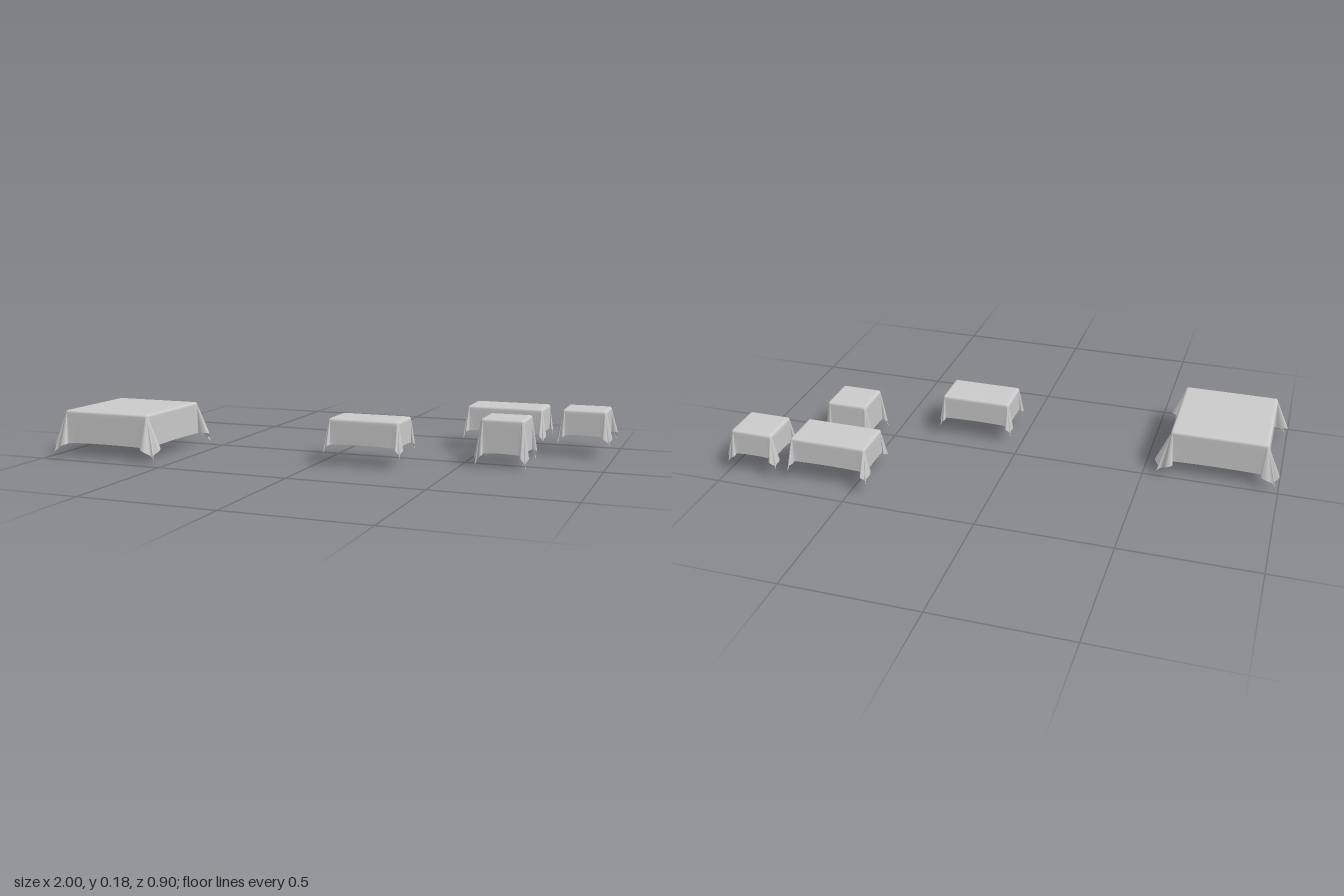
import * as THREE from 'three';
import { mergeVertices } from 'three/addons/utils/BufferGeometryUtils.js';

const R = 0.01;            // soft radius of the table edge
const FACE_STEPS = 10;     // stations along each straight side
const FOLD_STEPS = 32;     // stations around each corner fold
const ROWS = 10;           // rows down the hanging cloth

// Omega-shaped corner fold: outward slope (x, z) of the cloth around a corner,
// running from the z side of the table to its x side.
const fold = new THREE.CatmullRomCurve3([
  [0, 0], [-0.09, 0.2], [-0.08, 0.4], [0.06, 0.42], [0.2, 0.24], [0.27, 0.27],
  [0.24, 0.2], [0.42, 0.06], [0.4, -0.08], [0.2, -0.09], [0, 0],
].map(([x, z]) => new THREE.Vector3(x, 0, z)), false, 'centripetal');

// One station: edge point, outward direction, slope of the hanging cloth, length
function cornerStation(cx, cz, sx, sz, u, [lx, lz], hang) {
  const phi = u * Math.PI / 2;
  const d = fold.getPoint(u);
  return {
    x: cx, z: cz,
    nx: sx * Math.sin(phi), nz: sz * Math.cos(phi),
    slope: new THREE.Vector3(sx * d.x * lx, -1, sz * d.z * lz).normalize(),
    length: hang / Math.cos(Math.min(phi, Math.PI / 2 - phi)),
  };
}

function clothGeometry({ x, z, top, hem, folds }) {
  const hang = top - hem - R;
  const signs = [[1, 1], [1, -1], [-1, -1], [-1, 1]];
  const midX = (x[0] + x[1]) / 2, midZ = (z[0] + z[1]) / 2;
  const hx = (x[1] - x[0]) / 2 - R, hz = (z[1] - z[0]) / 2 - R;

  // Walk round the table: a corner fold, then the straight side after it
  const stations = [];
  signs.forEach(([sx, sz], i) => {
    for (let k = 0; k <= FOLD_STEPS; k++) {
      const u = k / FOLD_STEPS;
      stations.push(cornerStation(sx * hx, sz * hz, sx, sz, sx * sz > 0 ? u : 1 - u, folds[i], hang));
    }
    const a = stations[stations.length - 1];
    const [ex, ez] = signs[(i + 1) % 4];
    for (let k = 1; k < FACE_STEPS; k++) {
      const t = k / FACE_STEPS;
      stations.push({
        ...a,
        x: THREE.MathUtils.lerp(a.x, ex * hx, t),
        z: THREE.MathUtils.lerp(a.z, ez * hz, t),
        length: hang - 0.003 * Math.sin(Math.PI * t),
      });
    }
  });

  // Rings: centre, flat top, rounded edge, hanging rows
  const positions = [];
  const ring = (f) => stations.forEach((s) => {
    const [px, py, pz] = f(s);
    positions.push(midX + px, top + py, midZ + pz);
  });
  for (const k of [0, 0.5, 0.96, 1]) ring((s) => [s.x * k, 0, s.z * k]);
  for (let i = 1; i <= 4; i++) {
    const a = i / 4 * Math.PI / 2, o = R * Math.sin(a), y = -R * (1 - Math.cos(a));
    ring((s) => [s.x + s.nx * o, y, s.z + s.nz * o]);
  }
  for (let i = 1; i <= ROWS; i++) {
    ring((s) => {
      const l = s.length * i / ROWS;
      return [s.x + s.nx * R + s.slope.x * l, -R + s.slope.y * l, s.z + s.nz * R + s.slope.z * l];
    });
  }

  const n = stations.length, rings = positions.length / 3 / n, index = [];
  for (let i = 0; i < rings - 1; i++) {
    for (let j = 0; j < n; j++) {
      const k = (j + 1) % n;
      const a = i * n + j, d = i * n + k, b = a + n, c = d + n;
      index.push(a, b, c);
      if (i > 0) index.push(a, c, d);
    }
  }
  let g = new THREE.BufferGeometry();
  g.setAttribute('position', new THREE.Float32BufferAttribute(positions, 3));
  g.setIndex(index);
  g = mergeVertices(g, 1e-6);
  g.computeVertexNormals();
  return g;
}

// folds: [x, z] flare of the corners front-left, back-left, back-right, front-right
const cloths = [
  { name: 'largeSquareTablecloth', x: [-0.95, -0.59], z: [0.035, 0.42], top: 0.175, hem: 0.05,
    folds: [[1, 0.7], [1.05, 0.75], [1, 0.35], [1.05, 0.65]] },
  { name: 'frontLongTablecloth', x: [0.045, 0.315], z: [0.07, 0.225], top: 0.172, hem: 0.076,
    folds: [[0.4, 0.5], [0.4, 0.6], [0.4, 0.5], [0.45, 0.75]] },
  { name: 'backLongTablecloth', x: [0.44, 0.735], z: [-0.41, -0.25], top: 0.176, hem: 0.08,
    folds: [[0.35, 0.8], [0.35, 1.1], [0.35, 1.1], [0.35, 0.95]] },
  { name: 'backSmallTablecloth', x: [0.805, 0.97], z: [-0.42, -0.265], top: 0.178, hem: 0.08,
    folds: [[0.6, 0.5], [0.7, 0.55], [0.5, 0.6], [0.5, 0.55]] },
  { name: 'frontSmallTablecloth', x: [0.565, 0.725], z: [-0.11, 0.045], top: 0.174, hem: 0.047,
    folds: [[0.35, 0.4], [0.4, 0.3], [0.4, 0.3], [0.4, 0.45]] },
];

export function createModel() {
  const group = new THREE.Group();
  group.name = 'tablecloths';
  const material = new THREE.MeshStandardMaterial({ color: 0xcccccc, side: THREE.DoubleSide });
  for (const cloth of cloths) {
    const mesh = new THREE.Mesh(clothGeometry(cloth), material);
    mesh.name = cloth.name;
    group.add(mesh);
  }
  return group;
}
